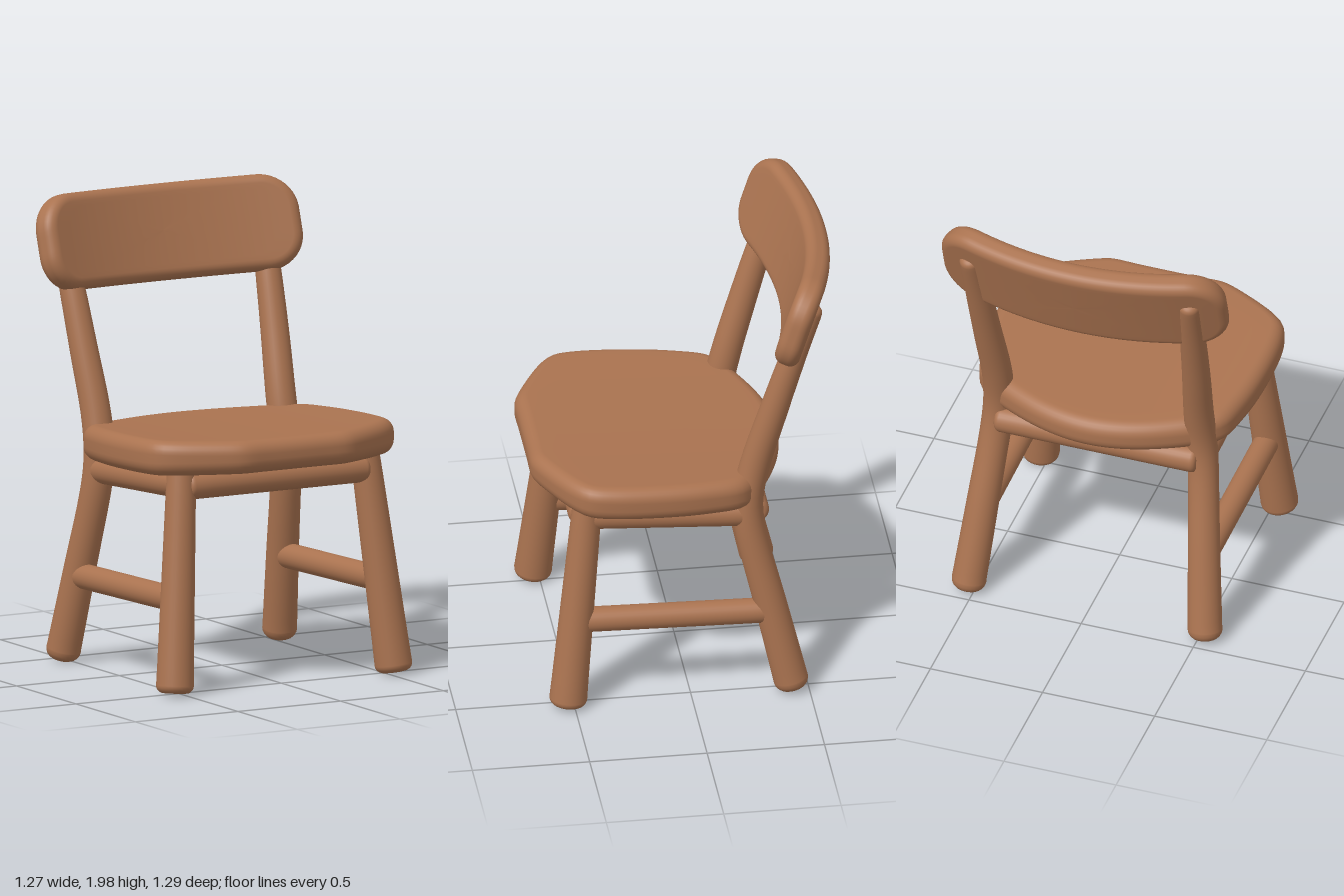
import * as THREE from 'three';

const V = (x, y, z) => new THREE.Vector3(x, y, z);

// Skin a list of closed rings (equal point counts) with smooth shared normals.
function loft(rings) {
  const n = rings[0].length, pos = [], index = [];
  rings.forEach((ring, i) => ring.forEach((p, j) => {
    pos.push(p.x, p.y, p.z);
    if (i === rings.length - 1) return;
    const k = (j + 1) % n, a = i * n + j, b = a + n, c = (i + 1) * n + k, d = i * n + k;
    index.push(a, b, c, a, c, d);
  }));
  const g = new THREE.BufferGeometry();
  g.setAttribute('position', new THREE.Float32BufferAttribute(pos, 3));
  g.setIndex(index);
  g.computeVertexNormals();
  return g;
}

// Slab with a rounded rim: outline is counter-clockwise in (u, v), place() bends it into shape.
function slab(outline, half, r, place) {
  const n = outline.length;
  const inward = outline.map((p, j) => {
    const a = outline[(j + n - 1) % n], b = outline[(j + 1) % n];
    return new THREE.Vector2(a.y - b.y, b.x - a.x).normalize();
  });
  const ring = (scale, inset, w) => outline.map((p, j) => place(
    (p.x + inward[j].x * inset) * scale, (p.y + inward[j].y * inset) * scale, w));
  const top = [], steps = 7;
  for (let i = 0; i < 8; i++) top.push([i / 8, r, half]);
  for (let i = 0; i <= steps; i++) {
    const a = (i / steps) * Math.PI / 2;
    top.push([1, r * (1 - Math.sin(a)), half - r + r * Math.cos(a)]);
  }
  const bottom = top.map(([s, k, w]) => [s, k, -w]).reverse();
  return loft([...top, ...bottom].map((a) => ring(...a)));
}

// Round bar along a path; radii are spread evenly along it, both ends are rounded over.
function limb(points, radii, round = 0.4) {
  const curve = new THREE.CatmullRomCurve3(points.map((p) => V(...p)), false, 'centripetal');
  const steps = points.length > 2 ? 40 : 8, sides = 28, len = curve.getLength();
  const frames = curve.computeFrenetFrames(steps);
  const radiusAt = (t) => {
    const f = t * (radii.length - 1), i = Math.min(Math.floor(f), radii.length - 2);
    return THREE.MathUtils.lerp(radii[i], radii[i + 1], f - i);
  };
  const ring = (k, r, shift) => {
    const c = curve.getPointAt(k / steps).addScaledVector(frames.tangents[k], shift);
    return Array.from({ length: sides }, (_, j) => {
      const a = (j / sides) * Math.PI * 2;
      return c.clone().addScaledVector(frames.normals[k], r * Math.cos(a))
        .addScaledVector(frames.binormals[k], -r * Math.sin(a));
    });
  };
  const cap = (k, sign) => {
    const r = radiusAt(k / steps), e = r * round, out = [ring(k, 0, 0), ring(k, (r - e) * 0.6, 0)];
    for (let i = 0; i <= 5; i++) {
      const a = (i / 5) * Math.PI / 2;
      out.push(ring(k, r - e + e * Math.sin(a), sign * e * (1 - Math.cos(a))));
    }
    return out;
  };
  const rings = cap(0, 1);
  for (let k = 1; k < steps; k++) {
    const d = (k / steps) * len;
    if (d > 0.04 && d < len - 0.04) rings.push(ring(k, radiusAt(k / steps), 0));
  }
  rings.push(...cap(steps, -1).reverse());
  return loft(rings);
}

export function createModel() {
  const group = new THREE.Group();
  group.name = 'chair';
  const wood = new THREE.MeshStandardMaterial({ color: 0xaa7350 });
  wood.name = 'brown wood';
  const add = (name, geometry) => {
    const mesh = new THREE.Mesh(geometry, wood);
    mesh.name = name;
    group.add(mesh);
  };

  // Seat: clipped front corners, curved back edge, slight dish and backward slope
  const half = [[0.13, -0.645], [0.245, -0.645], [0.29, -0.632], [0.515, -0.51], [0.58, -0.445],
    [0.604, -0.35], [0.606, -0.1], [0.585, 0.08], [0.55, 0.215], [0.5, 0.27], [0.3, 0.375], [0.14, 0.425]];
  const seatPath = new THREE.CatmullRomCurve3(
    [...half, [0, 0.44], ...half.map(([x, z]) => [-x, z]).reverse(), [0, -0.645]].map(([x, z]) => V(x, z, 0)),
    true, 'centripetal');
  const seatOutline = seatPath.getSpacedPoints(120).slice(0, -1).map((p) => new THREE.Vector2(p.x, p.y));
  add('seat', slab(seatOutline, 0.077, 0.058, (u, v, w) => {
    const dish = 0.014 * Math.max(0, 1 - (u * u) / 0.36);
    return V(u, 0.988 - 0.047 * v + w - (w > 0 ? dish : 0), -v);
  }));

  // Backrest: rounded board, bowed backward and leaning
  const bx = 0.625, by = 0.205, br = 0.155;
  const board = new THREE.Shape();
  board.absarc(bx - br, -by + br, br, -Math.PI / 2, 0);
  board.absarc(bx - br, by - br, br, 0, Math.PI / 2);
  board.absarc(-bx + br, by - br, br, Math.PI / 2, Math.PI);
  board.absarc(-bx + br, -by + br, br, Math.PI, Math.PI * 1.5);
  board.closePath();
  const boardOutline = board.getSpacedPoints(140).slice(0, -1);
  const lean = 0.31, bow = 0.34;
  add('backrest', slab(boardOutline, 0.054, 0.042, (u, v, w) => {
    const turn = Math.atan(2 * bow * u);
    const x = u - w * Math.sin(turn), d = bow * u * u + w * Math.cos(turn);
    return V(x, 1.777 + v * Math.cos(lean) + w * Math.sin(lean) + 0.05 * u * u,
      -0.55 - v * Math.sin(lean) + d * Math.cos(lean) + 0.005);
  }));

  // Legs, posts and side bars, mirrored left and right
  for (const [side, s] of [['left', 1], ['right', -1]]) {
    add(`${side} front leg`, limb([[s * 0.535, 0.015, 0.528], [s * 0.445, 0.96, 0.43]], [0.08, 0.062]));
    add(`${side} rear leg and post`, limb([
      [s * 0.53, 0.015, -0.433], [s * 0.495, 0.4, -0.345], [s * 0.46, 0.8, -0.255], [s * 0.452, 0.93, -0.252],
      [s * 0.45, 1.08, -0.282], [s * 0.465, 1.35, -0.36], [s * 0.477, 1.6, -0.437], [s * 0.49, 1.86, -0.527],
    ], [0.074, 0.07, 0.066, 0.066, 0.062, 0.056, 0.045], 0.6));
    add(`${side} lower stretcher`, limb([[s * 0.5, 0.405, 0.47], [s * 0.498, 0.385, -0.34]], [0.054, 0.054]));
    add(`${side} seat rail`, limb([[s * 0.45, 0.888, 0.43], [s * 0.455, 0.85, -0.25]], [0.06, 0.06]));
  }

  // Rails under the seat
  add('front seat rail', limb([[-0.44, 0.883, 0.45], [0.44, 0.883, 0.45]], [0.06, 0.06]));
  add('rear seat rail', limb([[-0.45, 0.84, -0.285], [0.45, 0.84, -0.285]], [0.06, 0.06]));

  return group;
}
